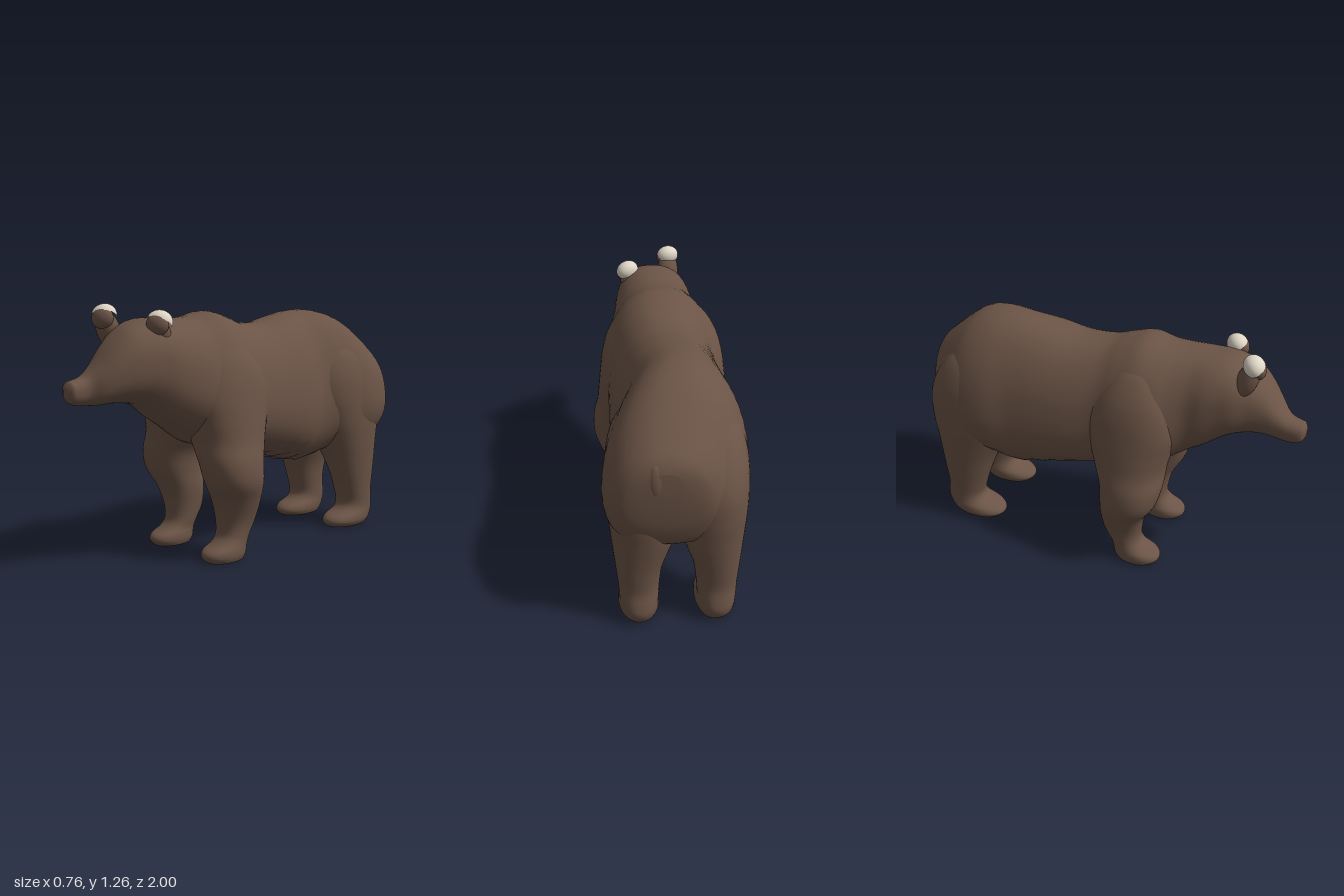
import * as THREE from 'three';

const fur = new THREE.MeshStandardMaterial({ color: 0x6b5446 });
fur.name = 'brownFur';
const cream = new THREE.MeshStandardMaterial({ color: 0xded6c6 });
cream.name = 'creamEarFur';

const spline = (a, b, c, d, t) =>
  0.5 * (2 * b + (c - a) * t + (2 * a - 5 * b + 4 * c - d) * t * t + (3 * b - a - 3 * c + d) * t * t * t);

// Smooth closed skin through sections; place(section, cos, sin) gives a point.
function loft(name, sections, place, power, steps = 5, sides = 48) {
  const rows = [];
  const last = sections.length - 1;
  for (let i = 0; i < last; i++) {
    const [a, b, c, d] = [i - 1, i, i + 1, i + 2].map((k) => sections[Math.min(last, Math.max(0, k))]);
    for (let s = 0; s < steps; s++) rows.push(b.map((v, k) => spline(a[k], v, c[k], d[k], s / steps)));
  }
  rows.push(sections[last]);

  const pos = [], index = [];
  const round = (v) => Math.sign(v) * Math.pow(Math.abs(v), 2 / power);
  for (const row of rows) {
    for (let j = 0; j < sides; j++) {
      const a = (j / sides) * Math.PI * 2;
      pos.push(...place(row, round(Math.cos(a)), round(Math.sin(a))));
    }
  }
  for (let i = 0; i < rows.length - 1; i++) {
    for (let j = 0; j < sides; j++) {
      const k = (j + 1) % sides, p = i * sides, q = p + sides;
      index.push(p + j, p + k, q + j, p + k, q + k, q + j);
    }
  }
  // End caps
  const start = pos.length / 3, top = (rows.length - 1) * sides;
  pos.push(...place(rows[0], 0, 0), ...place(rows[rows.length - 1], 0, 0));
  for (let j = 0; j < sides; j++) {
    const k = (j + 1) % sides;
    index.push(start, k, j, start + 1, top + j, top + k);
  }
  const g = new THREE.BufferGeometry();
  g.setAttribute('position', new THREE.Float32BufferAttribute(pos, 3));
  g.setIndex(index);
  g.computeVertexNormals();
  const mesh = new THREE.Mesh(g, fur);
  mesh.name = name;
  return mesh;
}

// Rump to nose: z, right x, left x, bottom y, top y
const bodySections = [
  [-0.993, 0.0, 0.13, 0.83, 0.93],
  [-0.982, -0.09, 0.21, 0.71, 0.96],
  [-0.96, -0.15, 0.265, 0.6, 0.995],
  [-0.91, -0.215, 0.31, 0.5, 1.04],
  [-0.8, -0.285, 0.33, 0.45, 1.13],
  [-0.7, -0.32, 0.32, 0.43, 1.195],
  [-0.58, -0.325, 0.285, 0.42, 1.225],
  [-0.45, -0.305, 0.255, 0.39, 1.222],
  [-0.3, -0.295, 0.28, 0.42, 1.195],
  [-0.15, -0.285, 0.285, 0.46, 1.165],
  [0, -0.27, 0.285, 0.495, 1.17],
  [0.1, -0.28, 0.295, 0.52, 1.2],
  [0.2, -0.285, 0.30, 0.54, 1.225],
  [0.3, -0.27, 0.285, 0.57, 1.205],
  [0.37, -0.235, 0.27, 0.61, 1.197],
  [0.45, -0.2, 0.25, 0.66, 1.195],
  [0.53, -0.19, 0.235, 0.71, 1.195],
  [0.6, -0.17, 0.22, 0.76, 1.195],
  [0.66, -0.15, 0.21, 0.795, 1.18],
  [0.73, -0.11, 0.195, 0.81, 1.145],
  [0.8, -0.08, 0.165, 0.815, 1.075],
  [0.86, -0.062, 0.125, 0.81, 0.995],
  [0.91, -0.055, 0.075, 0.81, 0.945],
  [0.96, -0.05, 0.06, 0.815, 0.927],
  [0.985, -0.04, 0.052, 0.828, 0.92],
  [1.0, -0.012, 0.025, 0.855, 0.895],
];

// Legs from sole upward: y, inner x, outer x, back z, front z
const frontLegSections = [
  [0.003, 0.13, 0.28, 0.135, 0.345],
  [0.03, 0.12, 0.29, 0.12, 0.37],
  [0.06, 0.12, 0.29, 0.115, 0.36],
  [0.09, 0.125, 0.285, 0.11, 0.30],
  [0.13, 0.12, 0.285, 0.095, 0.265],
  [0.2, 0.11, 0.297, 0.06, 0.265],
  [0.3, 0.095, 0.335, 0.05, 0.29],
  [0.4, 0.09, 0.375, 0.055, 0.345],
  [0.5, 0.07, 0.375, 0.05, 0.37],
  [0.6, 0.01, 0.352, 0.01, 0.375],
  [0.7, 0.0, 0.34, -0.02, 0.395],
  [0.8, 0.0, 0.328, -0.04, 0.415],
  [0.9, 0.0, 0.312, -0.03, 0.405],
  [1.0, 0.0, 0.28, 0.02, 0.37],
  [1.1, 0.01, 0.215, 0.09, 0.31],
  [1.16, 0.03, 0.13, 0.15, 0.25],
];
const hindLegSections = [
  [0.003, 0.095, 0.265, -0.88, -0.60],
  [0.03, 0.085, 0.28, -0.90, -0.575],
  [0.06, 0.085, 0.28, -0.915, -0.595],
  [0.09, 0.09, 0.275, -0.92, -0.67],
  [0.13, 0.09, 0.275, -0.915, -0.70],
  [0.2, 0.085, 0.28, -0.905, -0.685],
  [0.3, 0.07, 0.29, -0.915, -0.65],
  [0.4, 0.035, 0.30, -0.928, -0.61],
  [0.5, 0.0, 0.31, -0.942, -0.56],
  [0.62, -0.01, 0.32, -0.957, -0.5],
  [0.75, -0.01, 0.322, -0.957, -0.45],
  [0.87, 0.0, 0.31, -0.915, -0.45],
  [0.98, 0.01, 0.275, -0.845, -0.5],
  [1.06, 0.04, 0.21, -0.77, -0.58],
];

// The trunk narrows upward, the head does not; shaggy lumps on the belly only
function placeBody([z, x0, x1, y0, y1], c, s) {
  const taper = THREE.MathUtils.lerp(0.16, -0.06, THREE.MathUtils.smoothstep(z, 0.3, 0.62));
  const belly = Math.max(0, -s - 0.5) * Math.max(0, 1 - Math.abs(z + 0.3) / 0.3);
  const lump = 0.02 * belly * Math.sin(z * 60 + c * 4) * Math.cos(c * 9);
  const x = (x0 + x1) / 2 + ((c * (x1 - x0)) / 2) * (1 - taper * s);
  return [x, (y0 + y1) / 2 + (s * (y1 - y0)) / 2 + lump, z];
}
const placeLeg = ([y, x0, x1, z0, z1], c, s) =>
  [(x0 + x1) / 2 + (c * (x1 - x0)) / 2, y, (z0 + z1) / 2 - (s * (z1 - z0)) / 2];

function ellipsoid(name, material, r, p, theta = Math.PI) {
  const m = new THREE.Mesh(new THREE.SphereGeometry(1, 28, 18, 0, Math.PI * 2, 0, theta), material);
  m.name = name;
  m.scale.set(...r);
  m.position.set(...p);
  return m;
}

// Ear with a brown root and hollow, and a cream back and rim
function ear(name, x, y, z, tilt) {
  const g = new THREE.Group();
  g.name = name;
  const tip = ellipsoid(name + 'Tip', cream, [0.062, 0.056, 0.05], [0, 0.006, 0], Math.PI * 0.54);
  tip.rotation.x = -0.65;
  const root = ellipsoid(name + 'Root', fur, [0.058, 0.1, 0.048], [0, -0.065, -0.022]);
  root.rotation.x = 0.35;
  g.add(root, tip, ellipsoid(name + 'Hollow', fur, [0.054, 0.05, 0.036], [0, -0.006, 0.02]));
  g.position.set(x, y, z);
  g.rotation.set(0, 0.5, tilt);
  return g;
}

export function createModel() {
  const bear = new THREE.Group();
  bear.name = 'bear';
  bear.add(loft('bodyAndHead', bodySections, placeBody, 2.3));

  for (const [side, sign] of [['left', 1], ['right', -1]]) {
    for (const [part, sections] of [['FrontLeg', frontLegSections], ['HindLeg', hindLegSections]]) {
      const own = sign > 0 ? sections : sections.map(([y, a, b, ...z]) => [y, -b, -a, ...z]);
      bear.add(loft(side + part, own, placeLeg, 2.2));
    }
  }

  bear.add(ear('rightEar', -0.07, 1.2, 0.735, 0.15));
  bear.add(ear('leftEar', 0.16, 1.172, 0.595, -0.2));
  bear.add(ellipsoid('tail', fur, [0.04, 0.09, 0.03], [0.11, 0.88, -0.968]));
  return bear;
}
